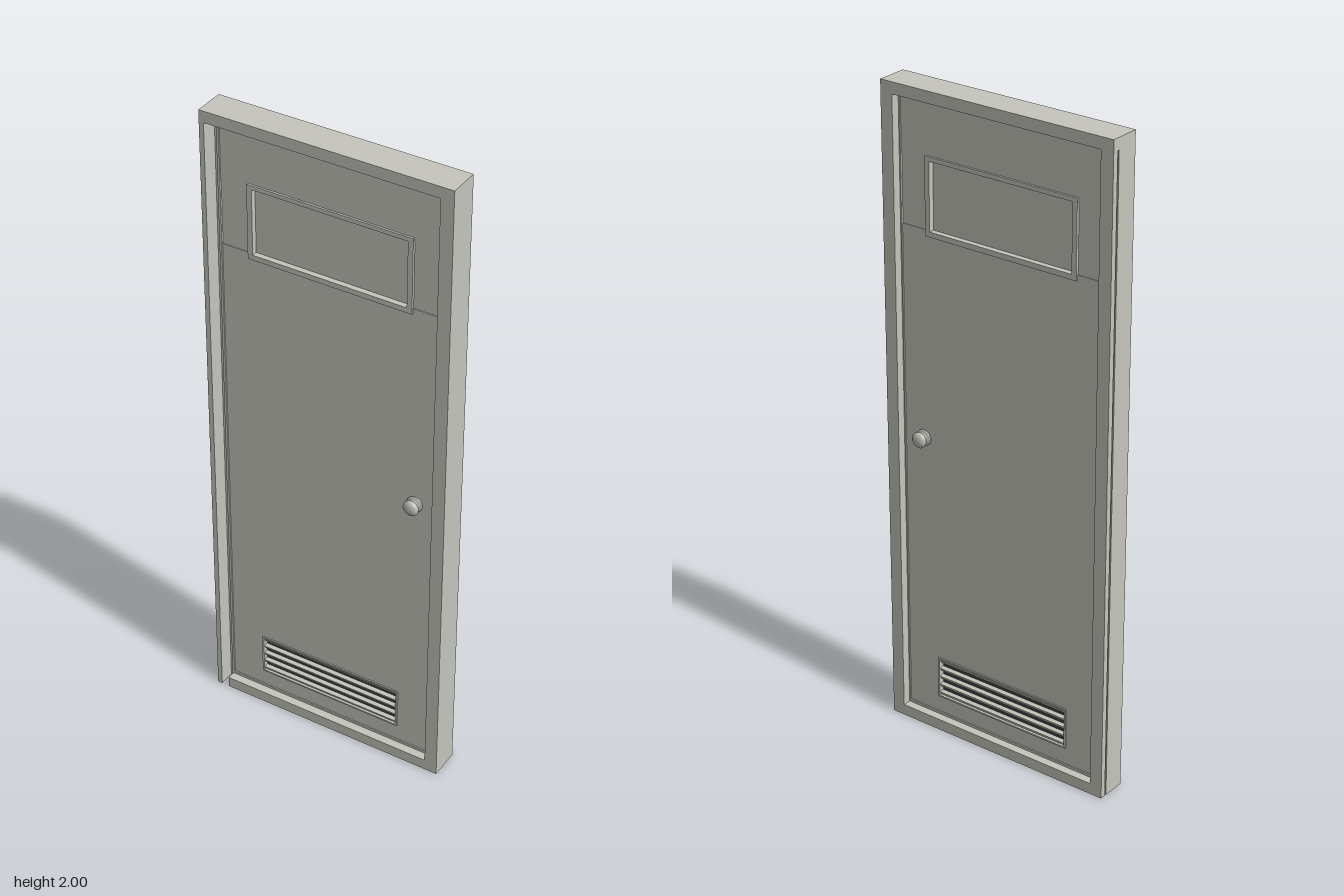
import * as THREE from 'three';

export function createModel() {
  const model = new THREE.Group();
  model.name = 'ventedDoor';
  const paint = new THREE.MeshStandardMaterial({ color: 0xc6c6be });
  paint.name = 'pale grey paint';
  const shadow = new THREE.MeshStandardMaterial({ color: 0x3c4247 });
  shadow.name = 'dark vent core';

  const add = (name, geometry, material = paint, parent = model) => {
    const mesh = new THREE.Mesh(geometry, material);
    mesh.name = name;
    parent.add(mesh);
    return mesh;
  };
  // Box given by its limits on each axis
  const box = (name, x0, x1, y0, y1, z0, z1, material, parent) => {
    const mesh = add(name, new THREE.BoxGeometry(x1 - x0, y1 - y0, z1 - z0), material, parent);
    mesh.position.set((x0 + x1) / 2, (y0 + y1) / 2, (z0 + z1) / 2);
    return mesh;
  };
  // Rectangular plate with a rectangular hole, rising from z0 to z1
  const ring = (name, o, h, z0, z1, parent) => {
    const path = (p, [x0, x1, y0, y1]) =>
      p.moveTo(x0, y0).lineTo(x1, y0).lineTo(x1, y1).lineTo(x0, y1).closePath();
    const shape = new THREE.Shape();
    path(shape, o);
    const hole = new THREE.Path();
    path(hole, h);
    shape.holes.push(hole);
    const geometry = new THREE.ExtrudeGeometry(shape, { depth: z1 - z0, bevelEnabled: false });
    add(name, geometry, paint, parent).position.z = z0;
  };

  const D = 0.048, W = 0.385, T = 0.018;

  // Frame: plain latch jamb, hinge jamb with a deep slot in its front
  box('headFrame', -W, W, 1.965, 2, -D, D);
  box('latchJamb', 0.345, W, 0, 1.965, -D, D);
  box('hingeJambOuter', -W, -0.37, 0, 1.965, -0.024, D);
  box('hingeJambInner', -0.35, -0.345, 0, 1.965, -0.024, 0.02);
  box('hingeJambWeb', -0.37, -0.345, 0, 1.965, -0.024, -0.002);
  box('hingeJambCore', -W + 0.004, -0.345, 0, 1.965, -0.03, -0.024);
  box('hingeJambBack', -W, -0.345, 0, 1.965, -D, -0.03);
  box('sill', -0.345, 0.345, 0, 0.035, -D, D);

  // Narrow stop around the leaf
  ring('doorStop', [-0.345, 0.345, 0.035, 1.965], [-0.341, 0.341, 0.043, 1.957], -T - 0.004, T + 0.004);

  // Door leaf: lower panel with a vent opening, window band and top panel
  const vent = [-0.237, 0.233, 0.096, 0.23];
  ring('lowerPanel', [-0.341, 0.341, 0.043, 1.585], vent, -T, T);
  box('topPanel', -0.341, 0.341, 1.79, 1.957, -T, T);
  for (const s of [-1, 1]) {
    const x = [s * 0.24, s * 0.341].sort((a, b) => a - b);
    box('windowSidePanel', x[0], x[1], 1.585, 1.79, -T + 0.002, T - 0.002);
  }
  box('windowPane', -0.24, 0.24, 1.585, 1.79, -0.007, 0.007);
  box('ventCore', vent[0], vent[1], vent[2], vent[3], -0.004, 0.004, shadow);

  // Fittings repeated on both faces
  for (const s of [1, -1]) {
    const side = new THREE.Group();
    side.name = s > 0 ? 'frontFittings' : 'backFittings';
    model.add(side);
    const span = (a, b) => (s > 0 ? [a, b] : [-b, -a]);

    ring('windowTrim', [-0.256, 0.256, 1.569, 1.803], [-0.24, 0.24, 1.585, 1.79], ...span(T - 0.004, T + 0.006), side);
    ring('ventTrim', vent, [-0.231, 0.227, 0.101, 0.225], ...span(0.004, T + 0.004), side);

    // Tilted louvre slats
    for (let i = 0; i < 5; i++) {
      const y = 0.108 + i * 0.0275;
      const slat = box('ventSlat', -0.231, 0.227, y - 0.0045, y + 0.0045, ...span(0.005, 0.017), paint, side);
      slat.rotation.x = s * 0.35;
    }

    // Turned knob with rose and neck
    const profile = [[0, 0], [0.025, 0], [0.025, 0.003], [0.022, 0.005], [0.01, 0.006], [0.01, 0.013],
      [0.018, 0.016], [0.024, 0.021], [0.024, 0.026], [0.018, 0.031], [0.009, 0.0335], [0, 0.034]];
    const knob = add('knob', new THREE.LatheGeometry(profile.map(p => new THREE.Vector2(...p)), 24), paint, side);
    knob.position.set(0.275, 0.945, s * T);
    knob.rotation.x = s * Math.PI / 2;
  }
  return model;
}
